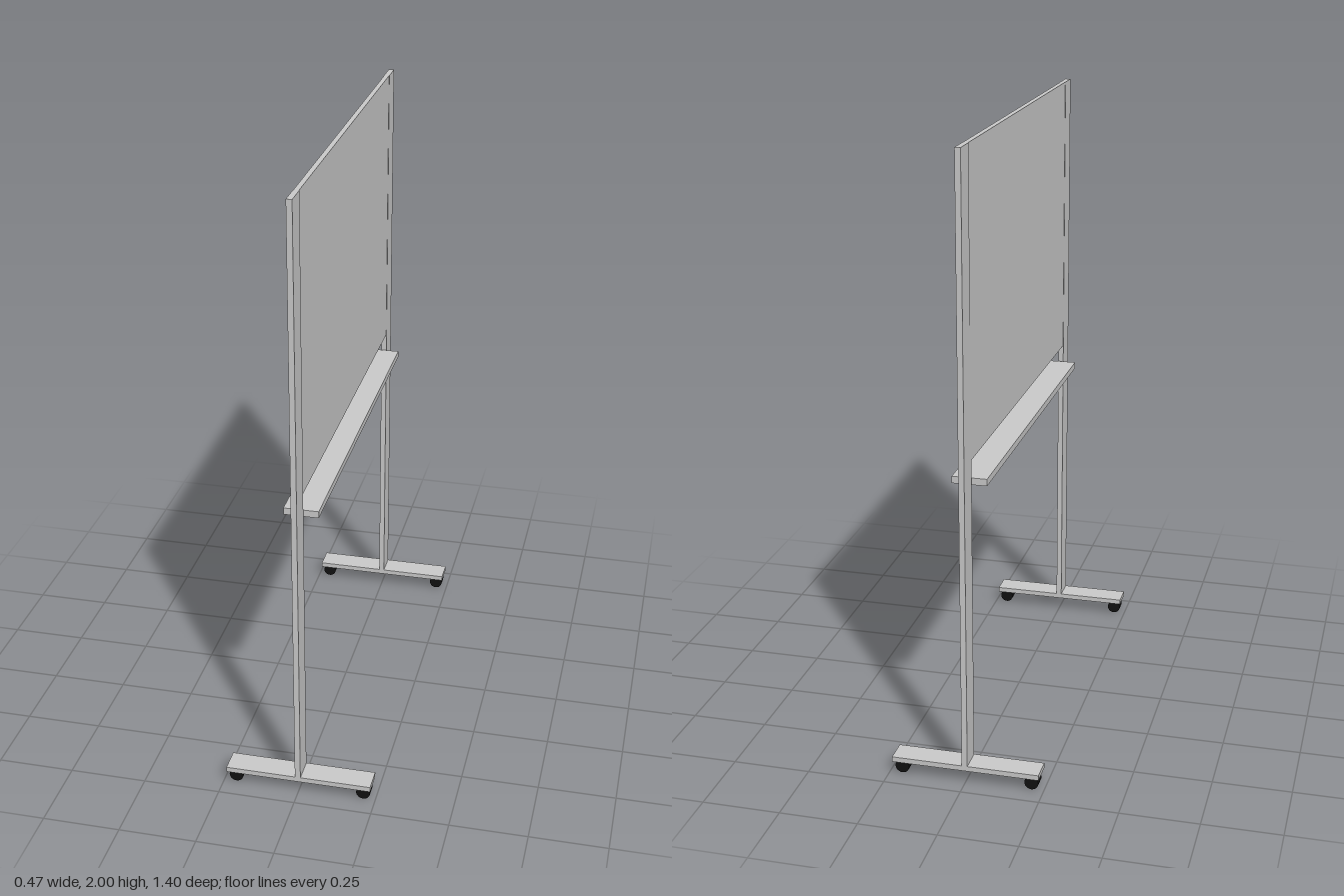
import * as THREE from 'three';

const grey = new THREE.MeshStandardMaterial({ color: 0xcccccc });
const white = new THREE.MeshStandardMaterial({ color: 0xf4f4f4 });
const black = new THREE.MeshStandardMaterial({ color: 0x111111 });

function box(name, size, position, material = grey) {
  const mesh = new THREE.Mesh(new THREE.BoxGeometry(...size), material);
  mesh.name = name;
  mesh.position.set(...position);
  return mesh;
}

export function createModel() {
  const model = new THREE.Group();
  model.name = 'mobileBoard';

  // Writing panel and the tray below it
  model.add(box('panel', [0.016, 0.95, 1.24], [0, 1.525, 0], white));
  model.add(box('tray', [0.11, 0.022, 1.225], [0, 0.981, 0]));

  // Two uprights, each on a foot with a pair of castors
  const wheelGeometry = new THREE.CylinderGeometry(0.0225, 0.0225, 0.042, 24).rotateX(Math.PI / 2);
  for (const side of [-1, 1]) {
    const stand = new THREE.Group();
    stand.name = side > 0 ? 'frontStand' : 'backStand';
    stand.position.z = side * 0.66;
    stand.add(box('post', [0.018, 1.938, 0.08], [0, 1.031, 0]));
    stand.add(box('foot', [0.474, 0.017, 0.08], [0, 0.0535, 0]));
    for (const end of [-1, 1]) {
      const wheel = new THREE.Mesh(wheelGeometry, black);
      wheel.name = end > 0 ? 'leftWheel' : 'rightWheel';
      wheel.position.set(end * 0.21, 0.0225, 0);
      stand.add(wheel);
    }
    model.add(stand);
  }
  return model;
}
